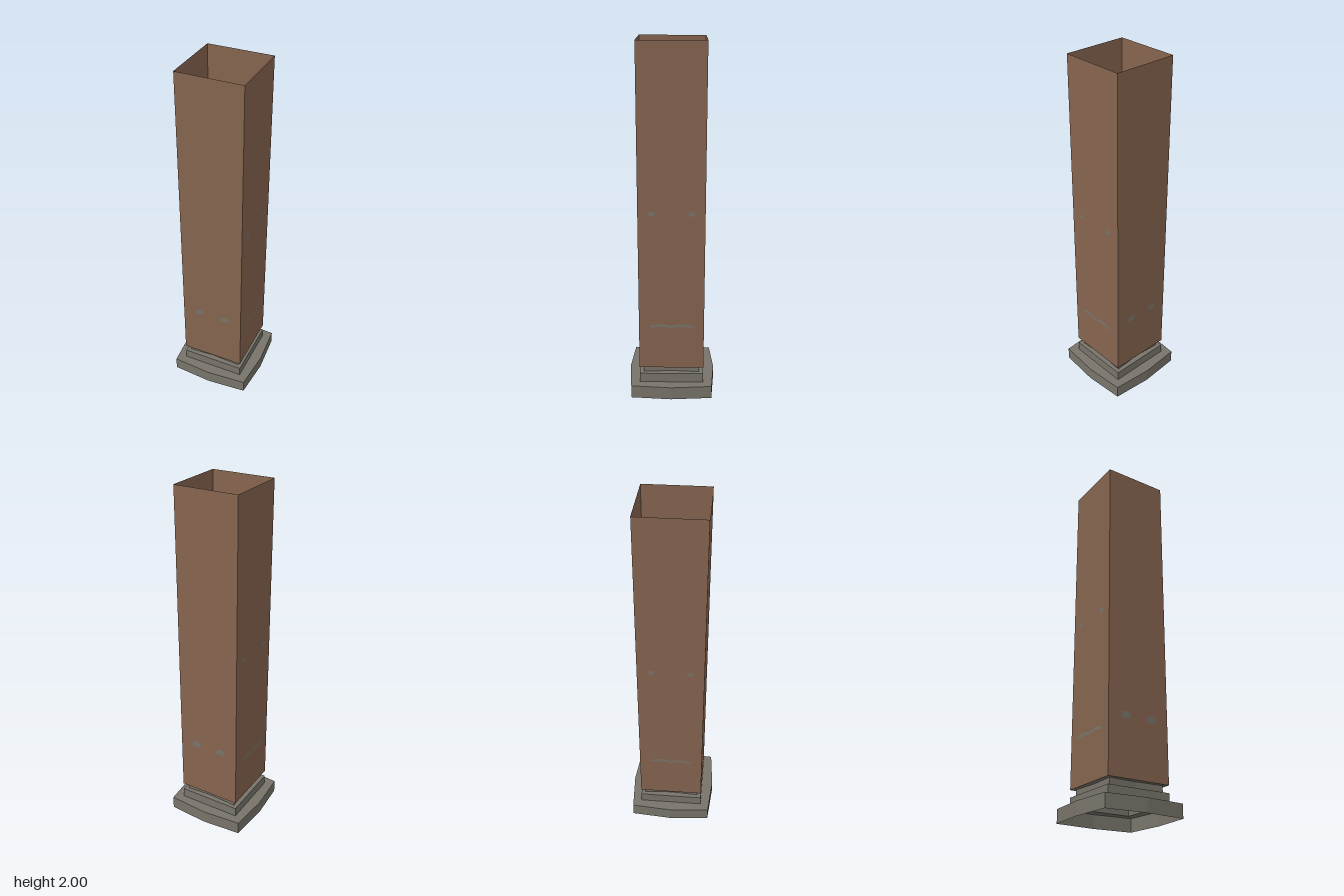
import * as THREE from 'three';

const brick = new THREE.MeshStandardMaterial({ color: 0x86644f, side: THREE.DoubleSide, flatShading: true });
brick.name = 'brown brick';
const stone = new THREE.MeshStandardMaterial({ color: 0x78746a, side: THREE.DoubleSide, flatShading: true });
stone.name = 'grey stone';

// Square ring with its side midpoints pushed in or out
function ring(corner, mid, y) {
  const points = [];
  for (let i = 0; i < 8; i++) {
    const a = i * Math.PI / 4;
    const r = i % 2 ? corner * Math.SQRT2 : mid;
    points.push([r * Math.cos(a), y, -r * Math.sin(a)]);
  }
  return points;
}

// Open shell joining successive rings
function loft(rings) {
  const pos = [];
  for (let k = 0; k < rings.length - 1; k++) {
    for (let i = 0; i < 8; i++) {
      const j = (i + 1) % 8;
      const a = rings[k][i], b = rings[k][j], c = rings[k + 1][i], d = rings[k + 1][j];
      pos.push(...a, ...b, ...d, ...a, ...d, ...c);
    }
  }
  const g = new THREE.BufferGeometry();
  g.setAttribute('position', new THREE.Float32BufferAttribute(pos, 3));
  g.computeVertexNormals();
  return g;
}

function add(parent, name, geometry, material) {
  const mesh = new THREE.Mesh(geometry, material);
  mesh.name = name;
  parent.add(mesh);
  return mesh;
}

// Small worn patch outline
function patch(w, h) {
  const s = new THREE.Shape();
  s.moveTo(-w, -h * 0.5);
  s.lineTo(-w * 0.4, -h);
  s.lineTo(w * 0.8, -h * 0.8);
  s.lineTo(w, h * 0.4);
  s.lineTo(w * 0.4, h);
  s.lineTo(-w * 0.6, h * 0.8);
  return new THREE.ShapeGeometry(s);
}

// Long wavy patch with two humps
function wave() {
  const top = [], bottom = [];
  for (let i = 0; i <= 16; i++) {
    const x = -0.12 + i * 0.015;
    const hump = Math.abs(Math.sin(x / 0.12 * Math.PI));
    top.push(new THREE.Vector2(x, 0.434 + 0.012 * hump));
    bottom.unshift(new THREE.Vector2(x, 0.422 + 0.006 * hump));
  }
  return new THREE.ShapeGeometry(new THREE.Shape([...top, ...bottom]));
}

export function createModel() {
  const model = new THREE.Group();
  model.name = 'chimney';
  const S = 0.183;

  // Hollow stepped foot with a bowed plinth and a pinched neck
  add(model, 'steppedBase', loft([
    ring(0.23, 0.248, 0), ring(0.23, 0.248, 0.075),
    ring(S, S, 0.075), ring(S, S, 0.13),
    ring(0.16, 0.15, 0.13), ring(0.16, 0.15, 0.17),
    ring(S, S, 0.17),
  ]), stone);

  // Open-topped square shaft
  add(model, 'shaft', loft([ring(S, S, 0.17), ring(S, S, 2)]), brick);

  // Worn patches on each face of the shaft
  for (let i = 0; i < 4; i++) {
    const face = new THREE.Group();
    face.name = 'facePatches';
    face.rotation.y = i * Math.PI / 2;
    for (const side of [-1, 1]) {
      if (i % 2 === 0) {
        add(face, 'lowPatch', patch(0.029, 0.02), stone).position.set(side * 0.08, 0.497, S + 0.002);
      } else {
        add(face, 'highPatch', patch(0.019, 0.013), stone).position.set(side * 0.107, 1.095, S + 0.002);
      }
    }
    if (i % 2) add(face, 'wavyPatch', wave(), stone).position.z = S + 0.002;
    model.add(face);
  }
  return model;
}
